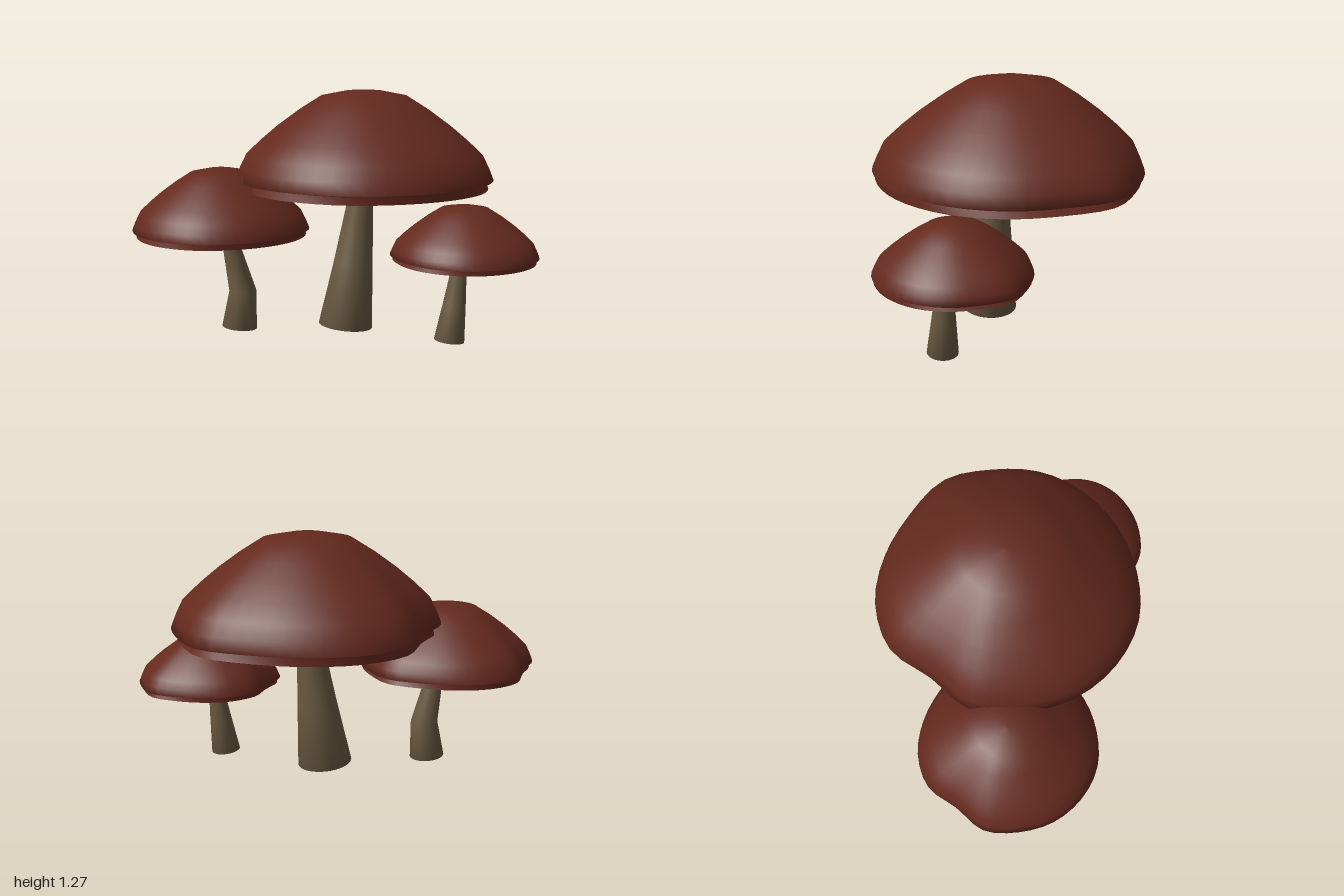
import * as THREE from 'three';

const SEG = 48;

// Skins a stack of closed rings, listed from top to bottom; ring(k, j) gives each point.
function loft(rows, ring) {
  const pos = [], idx = [];
  for (let k = 0; k < rows; k++) {
    for (let j = 0; j < SEG; j++) {
      pos.push(...ring(k, j));
      if (k === rows - 1) continue;
      const a = k * SEG + j, b = k * SEG + (j + 1) % SEG;
      idx.push(a, b, a + SEG, b, b + SEG, a + SEG);
    }
  }
  const g = new THREE.BufferGeometry();
  g.setAttribute('position', new THREE.Float32BufferAttribute(pos, 3));
  g.setIndex(idx);
  g.computeVertexNormals();
  return g;
}

// Lobed outline of the cap: radius every 22.5 degrees, from +x towards +z
const LOBES = [0.682, 0.688, 0.688, 0.68, 0.682, 0.7, 0.696, 0.688,
  0.676, 0.68, 0.62, 0.68, 0.684, 0.667, 0.668, 0.71];
const outline = new THREE.CatmullRomCurve3(LOBES.map((r, i) => {
  const a = i / LOBES.length * Math.PI * 2;
  return new THREE.Vector3(Math.cos(a) * r, 0, Math.sin(a) * r);
}), true);
const EDGE = Array.from({ length: SEG }, (_, j) => outline.getPoint(j / SEG));

// Cap section as [radius fraction, height above rim, notch depth]; repeated rows keep an edge sharp
const CAP = [
  // crown down to the rim
  [0, 0.468, 0], [0.13, 0.464, 0], [0.33, 0.438, 0], [0.5, 0.365, 0], [0.67, 0.28, 0],
  [0.8, 0.205, 0], [0.915, 0.13, 0], [0.965, 0.06, 0], [1, 0, 0],
  // groove and lower lip
  [0.985, -0.006, 0.065], [0.985, -0.006, 0.065], [0.98, -0.045, 0.02], [0.98, -0.045, 0.02],
  // shallow underside
  [0.8, -0.024, 0], [0.6, -0.005, 0], [0.4, 0.006, 0], [0.2, -0.005, 0], [0, -0.01, 0],
];

function capGeometry() {
  return loft(CAP.length, (k, j) => {
    const [f, y, notch] = CAP[k], e = EDGE[j];
    // the groove under the rim opens towards the two sides
    const side = (e.x / e.length()) ** 2;
    // lobes fade out towards the crown
    const s = (f - notch * side) * THREE.MathUtils.lerp(0.68 / e.length(), 1, f);
    return [e.x * s, y, e.z * s];
  });
}

// Stem from rings [x, y, radius] listed top to bottom, with a slanted, closed foot
function stemGeometry(path, z) {
  const last = path.length - 1, foot = path[last];
  const rows = [...path, [foot[0], foot[1], 0]];
  return loft(rows.length, (k, j) => {
    const [x, y, r] = rows[k], a = j / SEG * Math.PI * 2;
    const slant = k === last ? -0.1 * r * Math.cos(a) : 0;
    return [x + r * Math.cos(a), y + slant, z + r * Math.sin(a)];
  });
}

const MUSHROOMS = [
  { name: 'largeMushroom', cap: [0.22, 0.8, -0.06], size: 1, stemZ: 0.012,
    stem: [[0.194, 0.81, 0.085], [0.19, 0.76, 0.083], [0.182, 0.69, 0.068], [0.143, 0.35, 0.105], [0.102, 0.015, 0.143]] },
  { name: 'mediumMushroom', cap: [-0.535, 0.548, -0.155], size: 0.68, stemZ: -0.112,
    stem: [[-0.506, 0.56, 0.058], [-0.503, 0.515, 0.056], [-0.49, 0.46, 0.046], [-0.432, 0.21, 0.072], [-0.452, 0.012, 0.092]] },
  { name: 'smallMushroom', cap: [0.622, 0.443, 0.37], size: 0.55, stemZ: 0.407,
    stem: [[0.59, 0.45, 0.047], [0.588, 0.42, 0.046], [0.582, 0.37, 0.04], [0.562, 0.2, 0.058], [0.538, 0.01, 0.077]] },
];

export function createModel() {
  const capMat = new THREE.MeshStandardMaterial({ color: 0x64291d });
  capMat.name = 'russet cap';
  const stemMat = new THREE.MeshStandardMaterial({ color: 0x695a41 });
  stemMat.name = 'olive brown stem';

  const model = new THREE.Group();
  model.name = 'mushroomCluster';
  const capGeo = capGeometry();
  for (const m of MUSHROOMS) {
    const group = new THREE.Group();
    group.name = m.name;

    const cap = new THREE.Mesh(capGeo, capMat);
    cap.name = 'cap';
    cap.position.set(...m.cap);
    cap.scale.setScalar(m.size);

    const stem = new THREE.Mesh(stemGeometry(m.stem, m.stemZ), stemMat);
    stem.name = 'stem';

    group.add(cap, stem);
    model.add(group);
  }
  return model;
}
